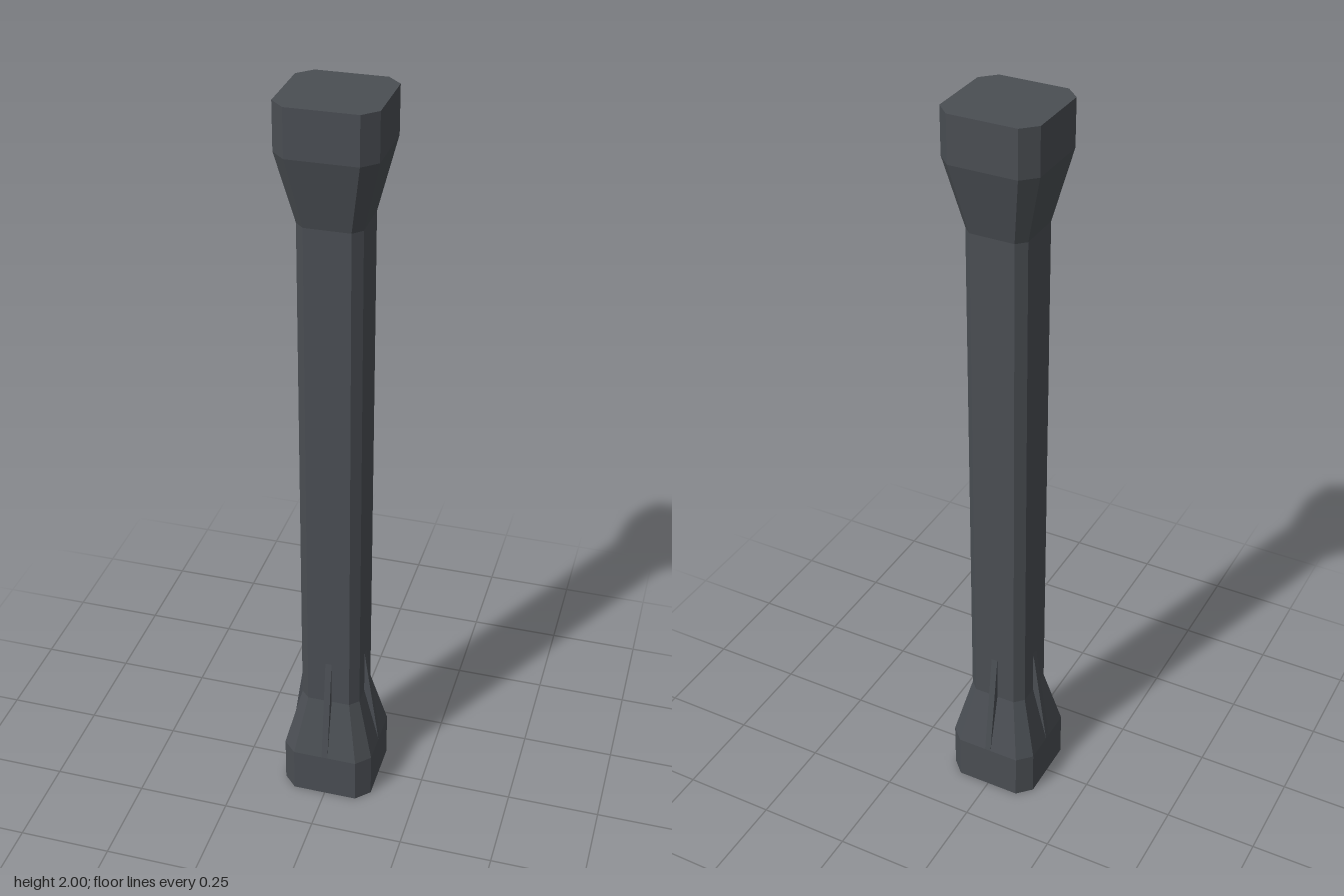
import * as THREE from 'three';

const material = new THREE.MeshStandardMaterial({ color: 0x4a4e53, flatShading: true });

// Square ring with cut corners, counterclockwise seen from above
function ring(y, half, flat) {
  return [
    [half, flat], [half, -flat], [flat, -half], [-flat, -half],
    [-half, -flat], [-half, flat], [-flat, half], [flat, half],
  ].map(([x, z]) => [x, y, z]);
}

// Skin between rings, with optional flat caps
function loft(rings, capBottom, capTop) {
  const n = rings[0].length;
  const pos = [];
  const tri = (a, b, c) => pos.push(...a, ...b, ...c);
  for (let r = 0; r < rings.length - 1; r++) {
    const lo = rings[r], hi = rings[r + 1];
    for (let i = 0; i < n; i++) {
      const j = (i + 1) % n;
      tri(lo[i], lo[j], hi[j]);
      tri(lo[i], hi[j], hi[i]);
    }
  }
  const last = rings[rings.length - 1];
  for (let i = 1; i < n - 1; i++) {
    if (capBottom) tri(rings[0][0], rings[0][i + 1], rings[0][i]);
    if (capTop) tri(last[0], last[i], last[i + 1]);
  }
  const g = new THREE.BufferGeometry();
  g.setAttribute('position', new THREE.Float32BufferAttribute(pos, 3));
  g.computeVertexNormals();
  return g;
}

export function createModel() {
  const model = new THREE.Group();
  model.name = 'column';
  const add = (name, geometry, parent = model) => {
    const mesh = new THREE.Mesh(geometry, material);
    mesh.name = name;
    parent.add(mesh);
    return mesh;
  };

  const wide = (y) => ring(y, 0.124, 0.088);
  const slim = (y) => ring(y, 0.081, 0.058);

  // Base, shaft and capital share their joining rings
  add('base', loft([wide(0), wide(0.13), slim(0.3)], true, false));
  add('shaft', loft([slim(0.3), slim(1.7)], false, false));
  add('capital', loft([slim(1.7), wide(1.88), wide(2)], false, true));

  // Thin gusset fin bracing the base taper on each of the four sides
  const width = 0.017;
  const profile = new THREE.Shape([
    new THREE.Vector2(0.07, 0.13),
    new THREE.Vector2(0.124, 0.13),
    new THREE.Vector2(0.081, 0.43),
    new THREE.Vector2(0.07, 0.43),
  ]);
  const finGeometry = new THREE.ExtrudeGeometry(profile, { depth: width, bevelEnabled: false });
  finGeometry.translate(0, 0, -width / 2);
  const fins = new THREE.Group();
  fins.name = 'gussetFins';
  model.add(fins);
  for (let i = 0; i < 4; i++) {
    add('gussetFin', finGeometry, fins).rotation.y = (i * Math.PI) / 2;
  }

  return model;
}
